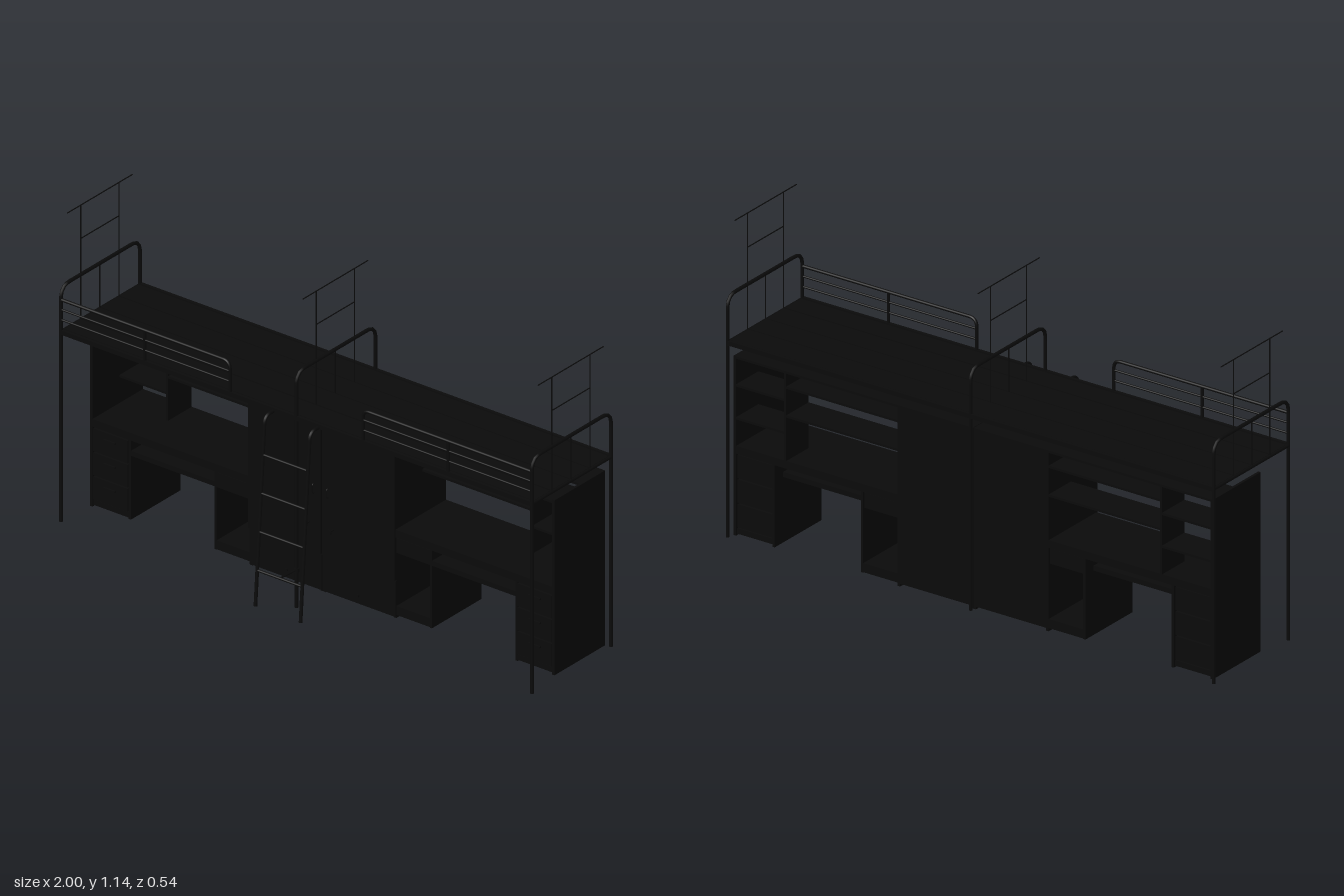
import * as THREE from 'three';

const black = new THREE.MeshStandardMaterial({ color: 0x0a0a0a });
const V = (x, y, z) => new THREE.Vector3(x, y, z);

export function createModel() {
  const model = new THREE.Group();

  const group = (name, parent = model) => {
    const g = new THREE.Group();
    g.name = name;
    parent.add(g);
    return g;
  };
  const add = (parent, name, geometry) => {
    const m = new THREE.Mesh(geometry, black);
    m.name = name;
    parent.add(m);
    return m;
  };
  // Box given by its limits on each axis
  const box = (parent, name, x0, x1, y0, y1, z0, z1) => {
    const m = add(parent, name, new THREE.BoxGeometry(Math.abs(x1 - x0), y1 - y0, z1 - z0));
    m.position.set((x0 + x1) / 2, (y0 + y1) / 2, (z0 + z1) / 2);
    return m;
  };
  // Straight round bar between two points
  const rod = (parent, name, a, b, r) => {
    const m = add(parent, name, new THREE.CylinderGeometry(r, r, a.distanceTo(b), 10));
    m.position.copy(a).add(b).multiplyScalar(0.5);
    m.quaternion.setFromUnitVectors(V(0, 1, 0), b.clone().sub(a).normalize());
    return m;
  };
  // Bent tube through points, with rounded corners
  const bent = (parent, name, pts, r, bend) => {
    const path = new THREE.CurvePath();
    let last = pts[0];
    for (let i = 1; i < pts.length - 1; i++) {
      const p = pts[i];
      const a = p.clone().add(pts[i - 1].clone().sub(p).setLength(bend));
      const b = p.clone().add(pts[i + 1].clone().sub(p).setLength(bend));
      path.add(new THREE.LineCurve3(last, a));
      path.add(new THREE.QuadraticBezierCurve3(a, p, b));
      last = b;
    }
    path.add(new THREE.LineCurve3(last, pts[pts.length - 1]));
    return add(parent, name, new THREE.TubeGeometry(path, 120, r, 10));
  };

  const front = 0.163, back = -0.261, deck = 0.71;

  // Three hoop frames, each with a thin rack standing on it
  for (const x of [-0.992, 0, 0.992]) {
    const f = group('hoopFrame');
    bent(f, 'hoop', [V(x, 0, front), V(x, 0.88, front), V(x, 0.88, back), V(x, 0, back)], 0.0065, 0.045);
    rod(f, 'hoopCrossbar', V(x, deck, front), V(x, deck, back), 0.006);
    rod(f, 'hoopUpright', V(x, deck, -0.045), V(x, 0.88, -0.045), 0.002);
    for (const z of [0.057, -0.148]) rod(f, 'rackUpright', V(x, deck, z), V(x, 1.14, z), 0.002);
    rod(f, 'rackTopBar', V(x, 1.14, 0.13), V(x, 1.14, -0.22), 0.002);
    rod(f, 'rackMiddleBar', V(x, 1.015, 0.057), V(x, 1.015, -0.148), 0.002);
  }

  // Bed deck: side rails, long boards and cross beams
  const bed = group('bedDeck');
  for (const z of [front, back]) box(bed, 'sideRail', -0.99, 0.99, 0.702, 0.718, z - 0.006, z + 0.006);
  for (const [z0, z1] of [[-0.251, -0.148], [-0.144, -0.046], [-0.042, 0.056], [0.062, 0.151]])
    box(bed, 'deckBoard', -0.99, 0.99, 0.706, 0.716, z0, z1);
  for (let i = 0; i < 9; i++) {
    const x = -0.92 + i * 0.23;
    box(bed, 'crossBeam', x - 0.008, x + 0.008, 0.7, 0.706, back, front);
  }

  // Ladder
  const ladder = group('ladder');
  const slope = (y) => 0.213 + (0.69 - y) * 0.0735;
  for (const x of [-0.095, 0.095])
    bent(ladder, 'ladderStile', [V(x, deck - 0.004, front), V(x, deck - 0.004, 0.212), V(x, 0.015, slope(0.015))], 0.0065, 0.03);
  for (const y of [0.145, 0.285, 0.425, 0.565])
    rod(ladder, 'ladderRung', V(-0.095, y, slope(y)), V(0.095, y, slope(y)), 0.005);
  rod(ladder, 'ladderBrace', V(0, 0.145, slope(0.145)), V(0, 0.14, front), 0.003);
  const clamp = add(ladder, 'braceClamp', new THREE.CylinderGeometry(0.01, 0.01, 0.014, 12));
  clamp.position.set(0, 0.14, front);

  // Everything below is repeated on both sides
  for (const s of [1, -1]) {
    const side = group(s > 0 ? 'leftSide' : 'rightSide');
    const panel = (parent, name, x0, x1, ...yz) => box(parent, name, s * x0, s * x1, ...yz);

    // Front guard rail
    const guard = group('guardRail', side);
    bent(guard, 'guardFrame', [V(s * 0.99, 0.83, front), V(s * 0.28, 0.83, front), V(s * 0.28, deck, front)], 0.006, 0.03);
    for (const y of [0.755, 0.793]) rod(guard, 'guardBar', V(s * 0.28, y, front), V(s * 0.99, y, front), 0.004);
    rod(guard, 'guardPost', V(s * 0.64, deck, front), V(s * 0.64, 0.83, front), 0.006);

    // Wardrobe with a door, bottom drawer and handles
    const w = group('wardrobe', side);
    panel(w, 'innerSide', 0.001, 0.011, 0, 0.66, -0.247, 0.02);
    panel(w, 'outerSide', 0.298, 0.308, 0, 0.66, -0.247, 0.02);
    panel(w, 'wardrobeBack', 0.011, 0.298, 0.01, 0.66, -0.247, -0.241);
    panel(w, 'wardrobeTop', 0.011, 0.298, 0.65, 0.66, -0.241, 0.02);
    panel(w, 'wardrobeBottom', 0.011, 0.298, 0.02, 0.03, -0.241, 0.02);
    panel(w, 'door', 0.003, 0.308, 0.142, 0.66, 0.02, 0.03);
    panel(w, 'lowerFront', 0.003, 0.308, 0.005, 0.138, 0.015, 0.024);
    bent(w, 'doorHandle', [V(s * 0.03, 0.4, 0.028), V(s * 0.03, 0.4, 0.04), V(s * 0.03, 0.365, 0.04), V(s * 0.03, 0.365, 0.028)], 0.002, 0.008);
    rod(w, 'knobStem', V(s * 0.05, 0.25, 0.03), V(s * 0.05, 0.25, 0.055), 0.003);
    rod(w, 'knob', V(s * 0.05, 0.25, 0.053), V(s * 0.05, 0.25, 0.057), 0.011);
    rod(w, 'lowerKnob', V(s * 0.15, 0.035, 0.022), V(s * 0.15, 0.035, 0.031), 0.006);

    // Desk top and keyboard tray
    const desk = group('desk', side);
    panel(desk, 'deskTop', 0.308, 0.978, 0.305, 0.333, -0.247, 0.025);
    panel(desk, 'keyboardTray', 0.458, 0.81, 0.245, 0.263, -0.2, 0.02);

    // Open cabinet beside the wardrobe
    const c = group('openCabinet', side);
    panel(c, 'cabinetSide', 0.449, 0.458, 0.01, 0.305, -0.247, 0.02);
    panel(c, 'cabinetDrawer', 0.308, 0.449, 0.245, 0.3, -0.24, 0.02);
    panel(c, 'cabinetBase', 0.308, 0.449, 0.012, 0.045, -0.247, 0.02);

    // Drawer pedestal at the outer end
    const p = group('drawerPedestal', side);
    panel(p, 'pedestalSide', 0.81, 0.819, 0.005, 0.305, -0.247, 0.02);
    panel(p, 'pedestalBase', 0.819, 0.968, 0.01, 0.03, -0.24, 0.02);
    for (let i = 0; i < 3; i++) {
      const y = 0.034 + i * 0.09;
      panel(p, 'drawer', 0.821, 0.966, y, y + 0.084, -0.24, 0.024);
      panel(p, 'drawerHandle', 0.87, 0.92, y + 0.055, y + 0.061, 0.024, 0.031);
    }

    // Full-height end panel and shallow shelves above the desk
    const sh = group('shelfUnit', side);
    panel(sh, 'endPanel', 0.968, 0.978, 0.005, 0.66, -0.247, 0.025);
    panel(sh, 'shelfDivider', 0.763, 0.771, 0.333, 0.66, -0.247, -0.12);
    panel(sh, 'topShelf', 0.308, 0.968, 0.652, 0.66, -0.247, -0.12);
    for (const y of [0.492, 0.597]) panel(sh, 'longShelf', 0.308, 0.763, y, y + 0.008, -0.247, -0.12);
    for (const y of [0.43, 0.55]) panel(sh, 'endShelf', 0.771, 0.968, y, y + 0.008, -0.247, -0.12);
  }
  return model;
}
